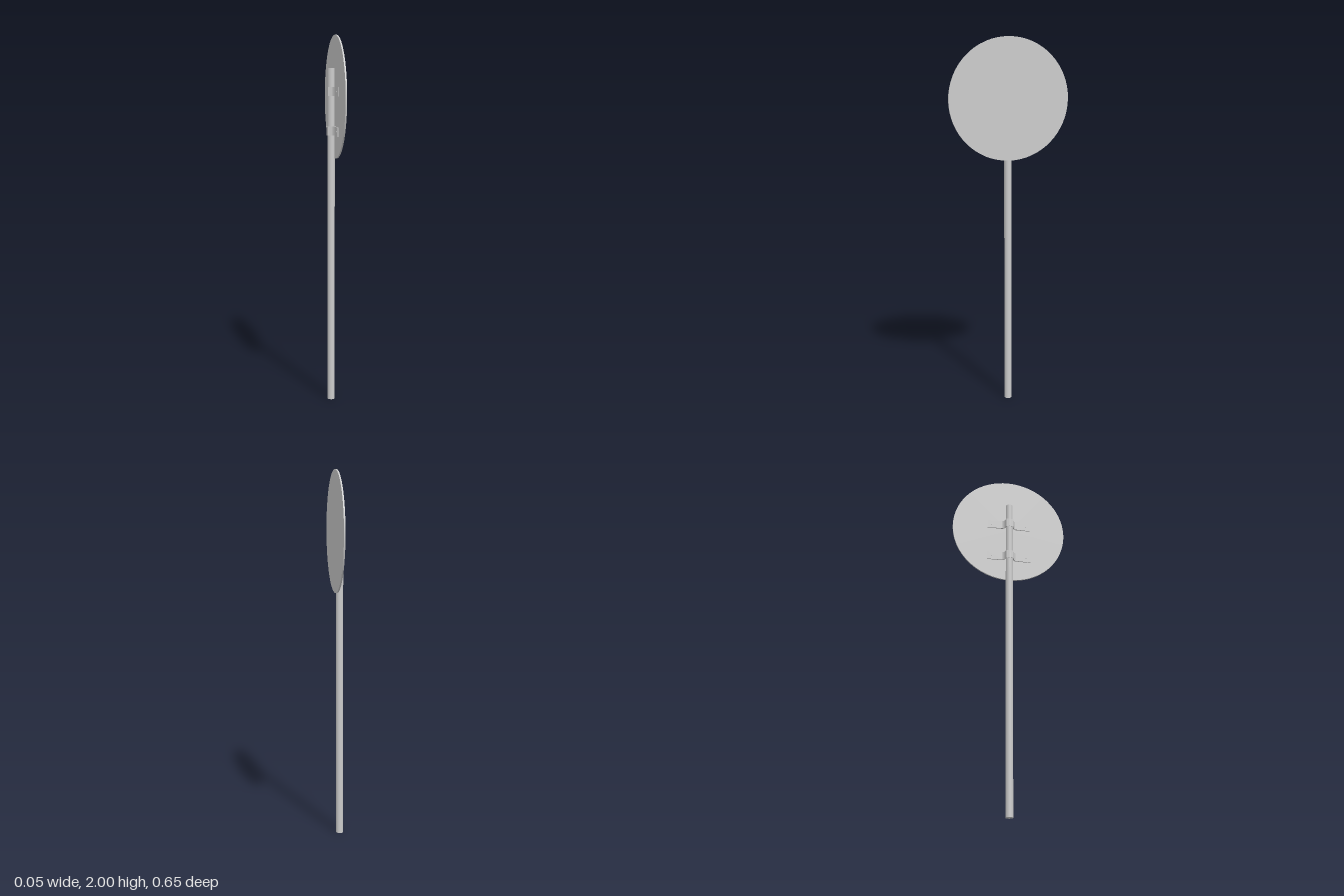
import * as THREE from 'three';

const material = new THREE.MeshStandardMaterial({ color: 0xcccccc });

function add(parent, name, geometry, x = 0, y = 0, z = 0) {
  const mesh = new THREE.Mesh(geometry, material);
  mesh.name = name;
  mesh.position.set(x, y, z);
  parent.add(mesh);
  return mesh;
}

// Bent metal strip wrapping the pole, mirrored front to back
function clampGeometry(height) {
  const outer = [[0.012, 0.125], [0.009, 0.037], [0.002, 0.028], [-0.021, 0.02], [-0.025, 0.004]];
  const inner = [[-0.021, 0.004], [-0.018, 0.017], [0.005, 0.024], [0.016, 0.037], [0.0165, 0.125]];
  const mirror = (pts) => pts.map(([x, z]) => [x, -z]).reverse();
  const outline = [...outer, ...mirror(outer), ...mirror(inner), ...inner];
  const shape = new THREE.Shape(outline.map(([x, z]) => new THREE.Vector2(x, z)));
  const geometry = new THREE.ExtrudeGeometry(shape, { depth: height, bevelEnabled: false });
  return geometry.rotateX(-Math.PI / 2).translate(0, -height / 2, 0);
}

export function createModel() {
  const model = new THREE.Group();
  model.name = 'roadSign';

  // Upright pole
  const poleHeight = 1.828;
  add(model, 'pole', new THREE.CylinderGeometry(0.02, 0.02, poleHeight, 24), -0.002, poleHeight / 2, 0);

  // Thin round sign plate facing +x
  const plate = new THREE.CylinderGeometry(0.325, 0.325, 0.008, 64).rotateZ(-Math.PI / 2);
  add(model, 'signPlate', plate, 0.0205, 1.675, 0);

  // Two clamps with a bolt head at each end
  for (const y of [1.705, 1.497]) {
    const clamp = new THREE.Group();
    clamp.name = 'clamp';
    clamp.position.y = y;
    add(clamp, 'clampStrip', clampGeometry(0.048));
    for (const z of [-0.1, 0.1]) {
      const bolt = new THREE.CylinderGeometry(0.005, 0.005, 0.006, 6).rotateZ(Math.PI / 2);
      add(clamp, 'bolt', bolt, 0.012, 0, z);
    }
    model.add(clamp);
  }
  return model;
}
